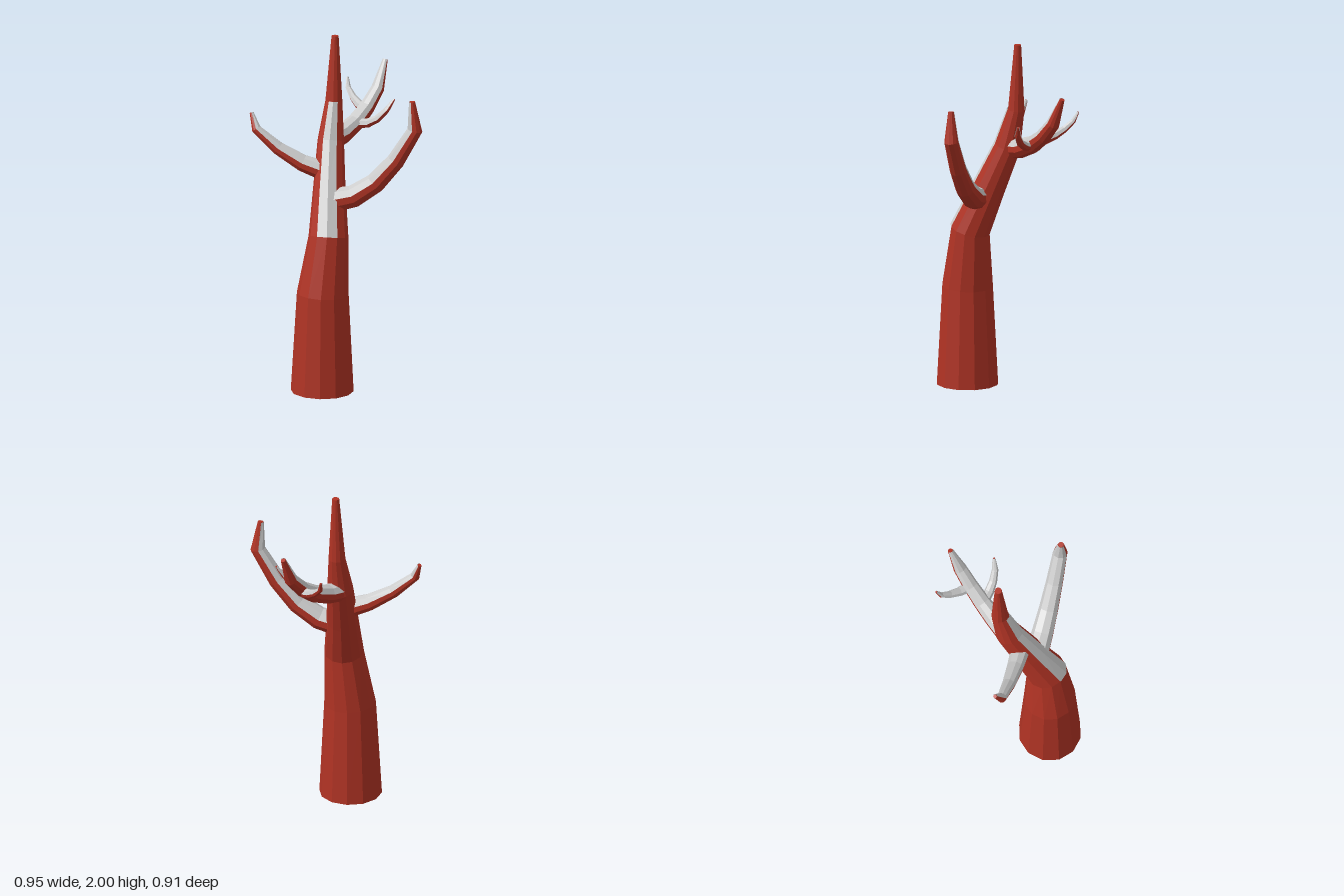
import * as THREE from 'three';

const bark = new THREE.MeshStandardMaterial({ color: 0xb03324, flatShading: true });
const snow = new THREE.MeshStandardMaterial({ color: 0xcccccc, flatShading: true, side: THREE.DoubleSide });
const UP = new THREE.Vector3(0, 1, 0);
const vec = (x, y, z) => new THREE.Vector3(x, y, z);

function toMesh(name, points, material) {
  const geometry = new THREE.BufferGeometry().setFromPoints(points);
  geometry.computeVertexNormals();
  const mesh = new THREE.Mesh(geometry, material);
  mesh.name = name;
  return mesh;
}

// Skins a line of centres with rings; snow covers "spread" columns either side of the upper ridge
function buildLimb(name, centres, radii, { sides, spread, heading, from, to }) {
  const last = centres.length - 1;
  const side = heading.clone().cross(UP).normalize();

  // Ring frames: "over" points to the upper side of the limb
  const direction = (i) => centres[i + 1].clone().sub(centres[i]).normalize();
  const frames = centres.map((_, i) => {
    const tangent = direction(Math.min(i, last - 1)).add(direction(Math.max(i - 1, 0))).normalize();
    const over = side.clone().cross(tangent).normalize();
    return { over, across: tangent.cross(over).normalize() };
  });
  const at = (i, j, lift = 0) => {
    const angle = (j / sides) * Math.PI * 2, r = radii[i] + lift;
    return centres[i].clone()
      .addScaledVector(frames[i].over, Math.cos(angle) * r)
      .addScaledVector(frames[i].across, Math.sin(angle) * r);
  };
  const quad = (out, a, b, c, d) => out.push(a, b, c, a, c, d);

  // Bark tube with both ends closed
  const wood = [];
  for (let j = 0; j < sides; j++) {
    for (let i = 0; i < last; i++) quad(wood, at(i, j), at(i, j + 1), at(i + 1, j + 1), at(i + 1, j));
    wood.push(centres[0], at(0, j + 1), at(0, j));
    wood.push(centres[last], at(last, j), at(last, j + 1));
  }

  // Thin snow strip, thicker in the middle than at its edges
  const cover = [];
  const top = (i, j) => at(i, j, Math.abs(j) === spread ? 0.003 : Math.min(0.008, radii[i] * 0.15));
  for (let i = from; i < to; i++) {
    for (let j = -spread; j < spread; j++) quad(cover, top(i, j), top(i, j + 1), top(i + 1, j + 1), top(i + 1, j));
  }

  const limb = new THREE.Group();
  limb.name = name;
  limb.add(toMesh(name + 'Bark', wood, bark), toMesh(name + 'Snow', cover, snow));
  return limb;
}

// Leaning trunk, with snow only on the slanted upper half
function buildTrunk() {
  const centres = [
    vec(0.008, 0, 0.278), vec(0.01, 0.57, 0.275), vec(0.023, 0.9, 0.237), vec(-0.035, 1.15, 0.145),
    vec(-0.09, 1.4, 0.05), vec(-0.105, 1.62, -0.003), vec(-0.105, 2, -0.015),
  ];
  const radii = [0.178, 0.147, 0.113, 0.092, 0.075, 0.048, 0.02];
  return buildLimb('trunk', centres, radii, { sides: 12, spread: 1, heading: vec(-0.5, 0, -0.866), from: 2, to: 5 });
}

// Branch: a tapering arc from root to elbow, then a straight pointed tip
function buildBranch(name, sides, segments, [root, bend, elbow, tip], [rootRadius, elbowRadius, tipRadius]) {
  const centres = new THREE.QuadraticBezierCurve3(root, bend, elbow).getPoints(segments);
  const radii = centres.map((_, i) => THREE.MathUtils.lerp(rootRadius, elbowRadius, i / segments));
  const heading = tip.clone().sub(root).setY(0);
  return buildLimb(name, [...centres, tip], [...radii, tipRadius],
    { sides, spread: 2, heading, from: 0, to: segments + 1 });
}

export function createModel() {
  const tree = new THREE.Group();
  tree.name = 'bareTree';
  tree.add(
    buildTrunk(),
    buildBranch('leftBranch', 10, 4,
      [vec(0, 1.09, 0.18), vec(0.24, 1.1, 0.06), vec(0.432, 1.53, -0.035), vec(0.42, 1.7, -0.02)], [0.068, 0.04, 0.016]),
    buildBranch('rightBranch', 10, 3,
      [vec(-0.06, 1.23, 0.12), vec(-0.26, 1.29, 0.236), vec(-0.425, 1.475, 0.308), vec(-0.465, 1.563, 0.295)], [0.056, 0.026, 0.011]),
    buildBranch('backBranch', 10, 4,
      [vec(-0.1, 1.39, 0.05), vec(-0.07, 1.4, -0.19), vec(-0.05, 1.61, -0.365), vec(-0.05, 1.765, -0.437)], [0.058, 0.036, 0.014]),
    buildBranch('rightTwig', 8, 3,
      [vec(-0.07, 1.5, -0.275), vec(-0.168, 1.515, -0.3), vec(-0.235, 1.59, -0.335), vec(-0.254, 1.645, -0.355)], [0.029, 0.014, 0.006]),
    buildBranch('leftTwig', 8, 3,
      [vec(-0.06, 1.45, -0.17), vec(0.04, 1.445, -0.186), vec(0.1, 1.54, -0.23), vec(0.128, 1.602, -0.265)], [0.029, 0.016, 0.006]),
  );
  return tree;
}
